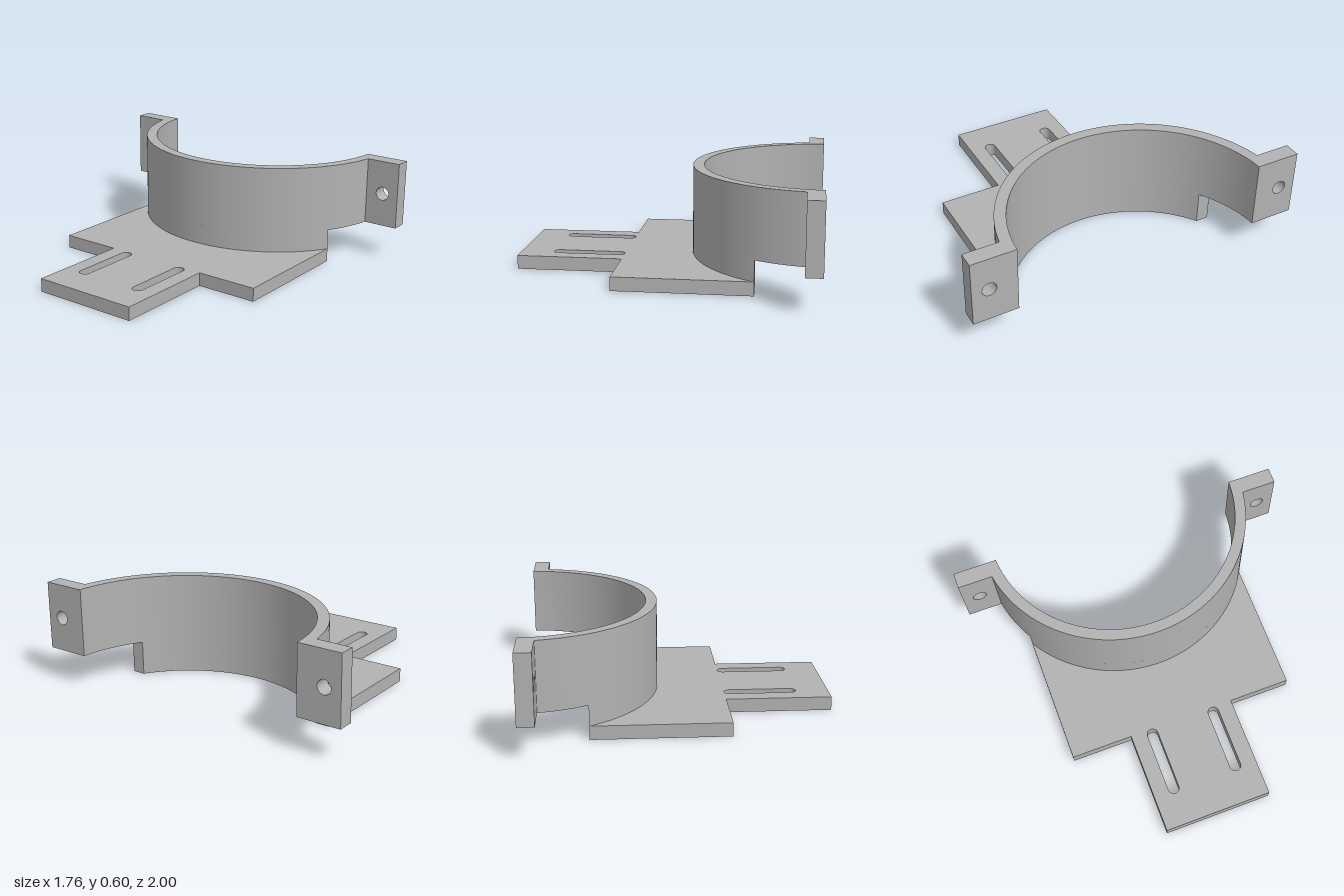
import * as THREE from 'three';
import { toCreasedNormals } from 'three/addons/utils/BufferGeometryUtils.js';

const CX = 0.92, R_IN = 0.74, R_OUT = 0.805; // clamp axis and radii
const X_END = 0.88, X_CUT = 0.515;           // upper and lower ends of the arc

export function createModel() {
  const group = new THREE.Group();
  group.name = 'pipeClampBracket';
  const grey = new THREE.MeshStandardMaterial({ color: 0xb2b2b2 });
  grey.name = 'grey';

  const extrude = (shape, depth) =>
    new THREE.ExtrudeGeometry(shape, { depth, bevelEnabled: false, curveSegments: 64 });
  const add = (name, geometry) => {
    const mesh = new THREE.Mesh(toCreasedNormals(geometry, 0.5), grey);
    mesh.name = name;
    group.add(mesh);
  };
  // Horizontal slab of a plan outline, from y0 to y1
  const slab = (shape, y0, y1) =>
    extrude(shape, y1 - y0).rotateX(-Math.PI / 2).translate(0, y0, 0);
  const angleAt = (x, r) => Math.acos((x - CX) / r);

  // T-shaped mounting plate with a curved edge against the clamp
  const plate = new THREE.Shape();
  const a = angleAt(X_CUT, R_OUT), edge = R_OUT * Math.sin(a);
  plate.moveTo(-0.885, -0.325);
  plate.lineTo(-0.27, -0.325);
  plate.lineTo(-0.27, -edge);
  plate.lineTo(X_CUT, -edge);
  plate.absarc(CX, 0, R_OUT, 2 * Math.PI - a, a, true);
  plate.lineTo(-0.27, edge);
  plate.lineTo(-0.27, 0.325);
  plate.lineTo(-0.885, 0.325);
  plate.closePath();
  // Two round-ended adjustment slots
  for (const s of [-1, 1]) {
    const slot = new THREE.Path(), r = 0.033;
    slot.absarc(-0.27 - r, s * 0.198, r, -Math.PI / 2, Math.PI / 2, false);
    slot.absarc(-0.693 + r, s * 0.198, r, Math.PI / 2, Math.PI * 1.5, false);
    slot.closePath();
    plate.holes.push(slot);
  }
  add('mountingPlate', slab(plate, 0, 0.08));

  // Clamp wall: a shorter arc below, a near half circle above
  const arcWall = (xEnd) => {
    const o = angleAt(xEnd, R_OUT), i = angleAt(xEnd, R_IN);
    const shape = new THREE.Shape();
    shape.absarc(CX, 0, R_OUT, o, 2 * Math.PI - o, false);
    shape.absarc(CX, 0, R_IN, 2 * Math.PI - i, i, true);
    shape.closePath();
    return shape;
  };
  add('lowerClampWall', slab(arcWall(X_CUT), 0, 0.2));
  add('upperClampWall', slab(arcWall(X_END), 0.2, 0.6));

  // Bolt flanges at both ends of the clamp
  for (const s of [-1, 1]) {
    const flange = new THREE.Shape();
    const z0 = Math.min(s * 0.793, s), z1 = Math.max(s * 0.793, s);
    flange.moveTo(z0, 0.2);
    flange.lineTo(z1, 0.2);
    flange.lineTo(z1, 0.6);
    flange.lineTo(z0, 0.6);
    flange.closePath();
    const hole = new THREE.Path();
    hole.absarc(s * 0.9, 0.4, 0.041, 0, Math.PI * 2, true);
    flange.holes.push(hole);
    add(s < 0 ? 'frontFlange' : 'backFlange',
      extrude(flange, X_END - 0.785).rotateY(Math.PI / 2).translate(0.785, 0, 0));
  }
  return group;
}
